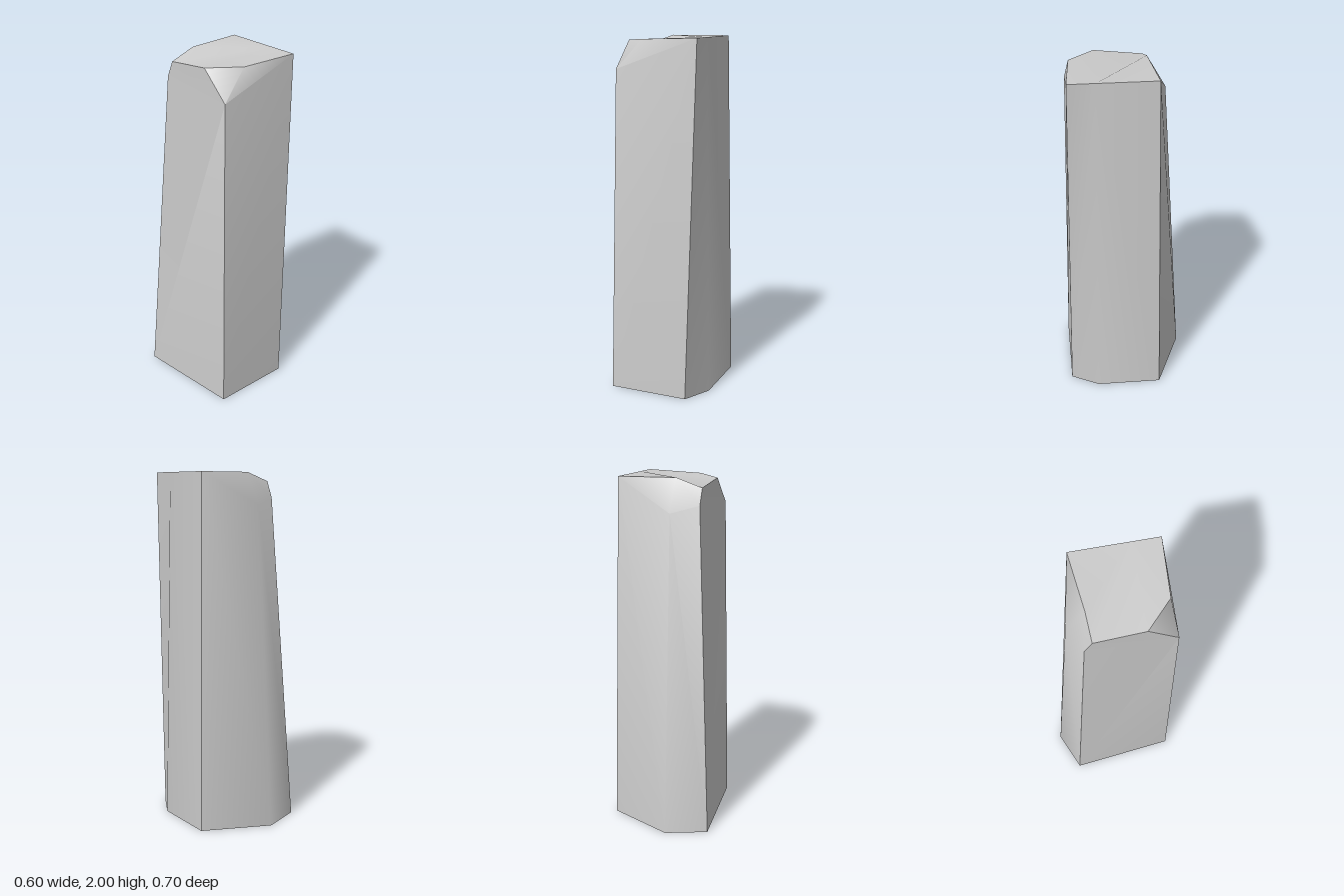
import * as THREE from 'three';
import { toCreasedNormals } from 'three/addons/utils/BufferGeometryUtils.js';

export function createModel() {
  const model = new THREE.Group();
  model.name = 'stonePillar';

  const points = [
    // foot, 0-5
    [-0.3, 0, -0.255], [-0.075, 0, -0.35], [0.3, 0, -0.19],
    [0.3, 0, 0.185], [0.217, 0, 0.345], [-0.237, 0, 0.35],
    // shoulder, 6-11
    [-0.205, 1.86, -0.158], [-0.06, 1.82, -0.228], [0.265, 2, -0.158],
    [0.265, 2, 0.165], [0.265, 2, 0.312], [-0.205, 1.83, 0.312],
    // rim of the top where it is worn away, 12-15
    [-0.205, 1.95, -0.117], [-0.06, 2, -0.125], [-0.06, 1.99, 0.29], [-0.205, 1.98, 0.15],
  ];

  const index = [];
  const fan = (...p) => {
    for (let i = 1; i < p.length - 1; i++) index.push(p[0], p[i], p[i + 1]);
  };

  // tapering sides between foot and shoulder
  for (let i = 0; i < 6; i++) {
    const n = (i + 1) % 6;
    if (i < 3) fan(i, i + 6, n + 6, n);
    else fan(n, i, i + 6, n + 6);
  }
  fan(0, 1, 2, 3, 4, 5); // underside
  fan(9, 8, 13, 12, 15, 14, 10); // top
  fan(6, 12, 13, 7); // back bevel
  fan(7, 13, 8);
  fan(11, 15, 12, 6); // upper left side
  fan(10, 14, 11); // upper front
  fan(11, 14, 15); // chipped front corner

  const geometry = new THREE.BufferGeometry();
  geometry.setAttribute('position', new THREE.Float32BufferAttribute(points.flat(), 3));
  geometry.setIndex(index);

  const pillar = new THREE.Mesh(
    toCreasedNormals(geometry, THREE.MathUtils.degToRad(50)),
    new THREE.MeshStandardMaterial({ color: 0xcccccc })
  );
  pillar.name = 'pillar';
  model.add(pillar);
  return model;
}
